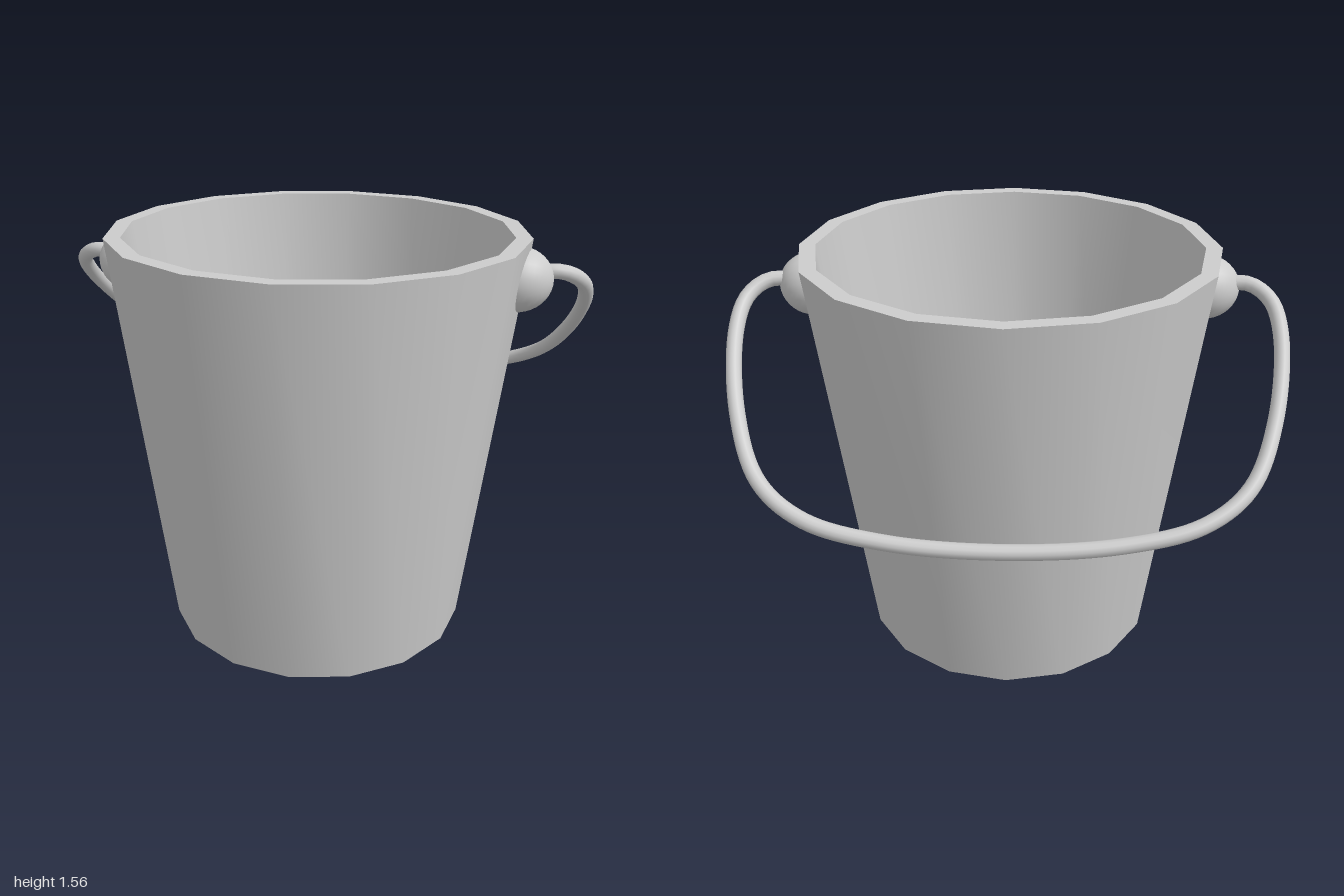
import * as THREE from 'three';
import { toCreasedNormals } from 'three/addons/utils/BufferGeometryUtils.js';

export function createModel() {
  const model = new THREE.Group();
  model.name = 'bucket';
  const material = new THREE.MeshStandardMaterial({ color: 0xcccccc });
  const add = (name, geometry) => {
    const mesh = new THREE.Mesh(geometry, material);
    mesh.name = name;
    model.add(mesh);
    return mesh;
  };

  // Tapered sixteen-sided pail: underside, outer wall, rim, inner wall, floor
  const profile = [
    [0, 0], [0.575, 0], [0.768, 1.54], [0.708, 1.54], [0.532, 0.12], [0, 0.12],
  ].map(([r, y]) => new THREE.Vector2(r, y));
  const pail = add('pail', toCreasedNormals(new THREE.LatheGeometry(profile, 16), 0.6));
  pail.position.set(-0.005, 0.015, 0.055);
  pail.rotation.x = -0.0185; // leans back slightly

  // Domed knobs holding the handle ends
  for (const side of [1, -1]) {
    const dome = new THREE.SphereGeometry(0.118, 24, 10, 0, Math.PI * 2, 0, Math.PI / 2);
    const knob = add(side > 0 ? 'leftKnob' : 'rightKnob', dome);
    knob.scale.y = 1.1;
    knob.rotation.z = -side * Math.PI / 2;
    knob.position.set(side * 0.715, 1.407, 0.028);
  }

  // Wire handle hanging over the back, one half mirrored to the other
  const half = [
    [0.77, 1.43, 0.005], [0.875, 1.432, -0.008], [0.945, 1.39, -0.06],
    [0.972, 1.30, -0.17], [0.93, 1.09, -0.42], [0.83, 0.925, -0.61],
    [0.67, 0.835, -0.705], [0.4, 0.782, -0.752],
  ];
  const points = [
    ...half, [0, 0.76, -0.767],
    ...half.map(([x, y, z]) => [-x, y, z]).reverse(),
  ].map((p) => new THREE.Vector3(...p));
  const path = new THREE.CatmullRomCurve3(points, false, 'centripetal');
  add('handle', new THREE.TubeGeometry(path, 120, 0.028, 12));

  return model;
}
